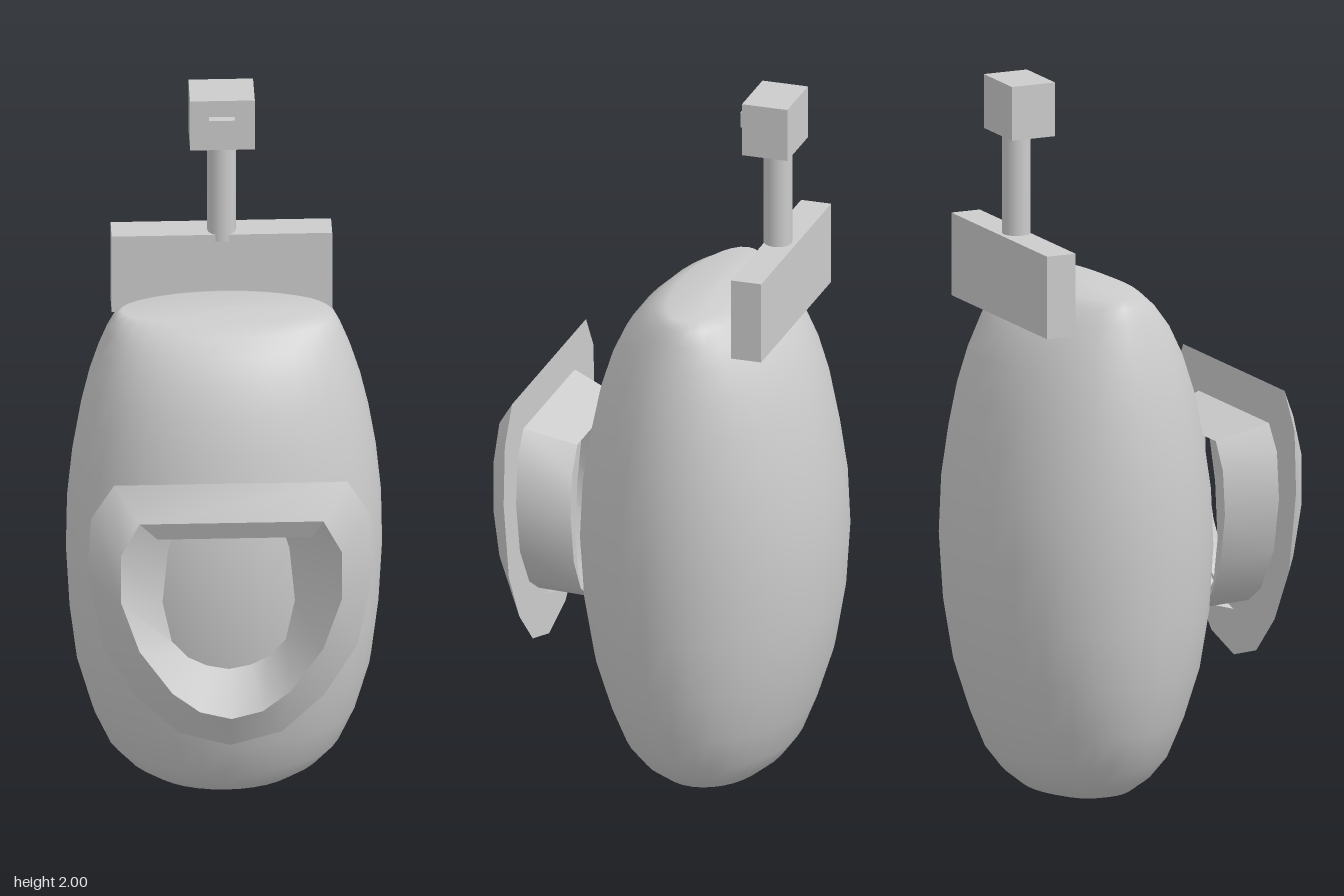
import * as THREE from 'three';
import { toCreasedNormals } from 'three/addons/utils/BufferGeometryUtils.js';

// Skin a series of closed loops with equal point counts
function loft(loops) {
  const n = loops[0].length, index = [];
  for (let r = 0; r < loops.length - 1; r++) {
    for (let j = 0; j < n; j++) {
      const k = (j + 1) % n, a = r * n, b = a + n;
      index.push(a + j, b + j, a + k, b + j, b + k, a + k);
    }
  }
  const g = new THREE.BufferGeometry();
  g.setAttribute('position', new THREE.Float32BufferAttribute(loops.flat(2), 3));
  g.setIndex(index);
  g.computeVertexNormals();
  return g;
}

// Mirror a left-hand outline (top to bottom, ending on the axis) into a loop at depth z
function mirrored(half, z) {
  const right = half.slice(0, -1).reverse().map(([x, y]) => [-x, y]);
  return [...half, ...right].map(([x, y]) => [x, y, z]);
}

export function createModel() {
  const group = new THREE.Group();
  const grey = new THREE.MeshStandardMaterial({ color: 0xcccccc });
  grey.name = 'light grey';
  const add = (name, geometry, x = 0, y = 0, z = 0) => {
    const mesh = new THREE.Mesh(geometry, grey);
    mesh.name = name;
    mesh.position.set(x, y, z);
    group.add(mesh);
  };

  // Barrel-shaped body: [y, half width, half depth]
  const rows = [
    [0.005, 0, 0], [0.005, 0.14, 0.09], [0.02, 0.2, 0.14], [0.06, 0.26, 0.19], [0.12, 0.315, 0.235],
    [0.22, 0.36, 0.275], [0.36, 0.4, 0.32], [0.52, 0.42, 0.348], [0.7, 0.43, 0.36],
    [0.86, 0.427, 0.352], [1.0, 0.413, 0.33], [1.12, 0.393, 0.305], [1.22, 0.37, 0.273],
    [1.3, 0.345, 0.235], [1.36, 0.322, 0.19], [1.4, 0.303, 0.145], [1.42, 0.28, 0.1], [1.425, 0, 0],
  ];
  const sides = 32;
  add('body', loft(rows.map(([y, rx, rz]) => Array.from({ length: sides }, (_, i) => {
    const a = (i / sides) * Math.PI * 2;
    return [Math.cos(a) * rx, y, -0.09 + Math.sin(a) * rz];
  }))));

  // Hollow funnel with a bevelled flange
  const hole = [[-0.13, 0.975], [-0.165, 0.86], [-0.18, 0.7], [-0.155, 0.58], [-0.11, 0.53], [-0.06, 0.505], [0, 0.495]];
  const mouth = [[-0.25, 1.04], [-0.3, 0.945], [-0.3, 0.8], [-0.25, 0.65], [-0.16, 0.52], [-0.085, 0.462], [0, 0.44]];
  const rim = [[-0.317, 1.13], [-0.38, 1.03], [-0.39, 0.86], [-0.345, 0.63], [-0.255, 0.48], [-0.14, 0.37], [0, 0.33]];
  const neck = [[-0.22, 1.02], [-0.27, 0.95], [-0.283, 0.82], [-0.25, 0.67], [-0.17, 0.55], [-0.09, 0.5], [0, 0.48]];
  const base = [[-0.18, 0.975], [-0.225, 0.9], [-0.237, 0.78], [-0.21, 0.64], [-0.15, 0.54], [-0.08, 0.49], [0, 0.47]];
  add('funnel', toCreasedNormals(loft([
    mirrored(hole, 0.25), mirrored(mouth, 0.445), mirrored(rim, 0.386),
    mirrored(neck, 0.386), mirrored(base, 0.245), mirrored(hole, 0.25),
  ]), 0.6));

  // Slanted lip across the top of the mouth
  const lip = [[-0.25, 1.04, 0.444], [-0.2, 0.98, 0.42], [0.22, 0.98, 0.42], [0.25, 1.04, 0.444]];
  const shift = (d) => lip.map(([x, y, z]) => [x, y, z + d]);
  const middle = lip.map(() => [0, 1.01, 0.432]);
  const back = lip.map(() => [0, 1.01, 0.412]);
  add('mouthLip', toCreasedNormals(loft([middle, lip, shift(-0.02), back]), 0.5));

  // Crossbar, post and head
  add('crossbar', new THREE.BoxGeometry(0.6, 0.23, 0.086), 0, 1.455, -0.279);
  add('post', new THREE.CylinderGeometry(0.039, 0.039, 0.32, 16), 0, 1.71, -0.27);
  add('head', new THREE.BoxGeometry(0.176, 0.15, 0.13), 0, 1.925, -0.261);
  add('headStud', new THREE.BoxGeometry(0.07, 0.044, 0.03), -0.002, 1.929, -0.188);
  return group;
}
